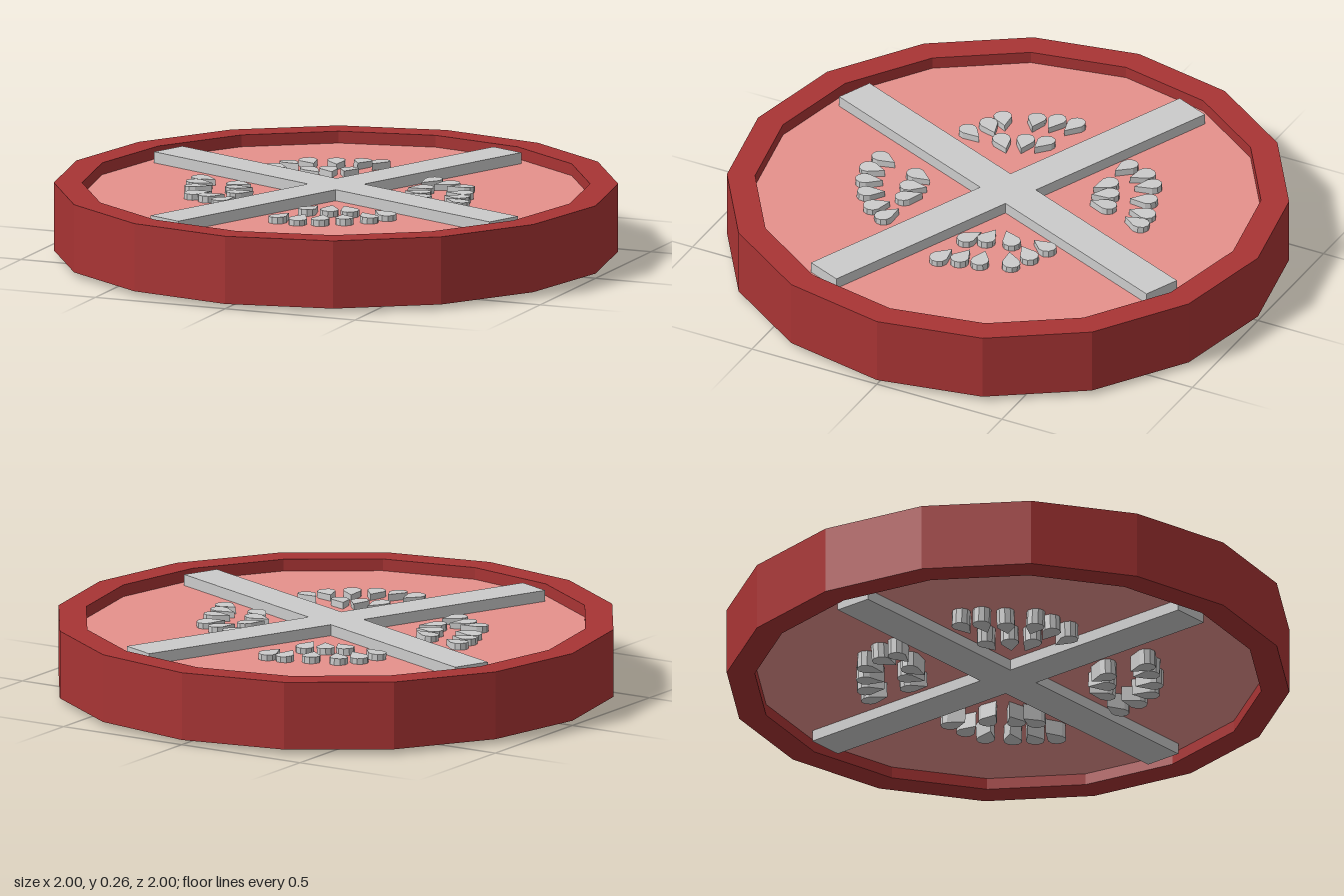
import * as THREE from 'three';

const SIDES = 16, BOTTOM = 0.02, TOP = 0.265;

const skinMat = new THREE.MeshStandardMaterial({ color: 0xa83434, flatShading: true });
const fleshMat = new THREE.MeshStandardMaterial({ color: 0xe6918c, flatShading: true });
const greyMat = new THREE.MeshStandardMaterial({ color: 0xcccccc, flatShading: true });

// Seed centres [x, z] for each of the four chambers, with the chamber's angle in degrees
const chambers = [
  { angle: -22.5, seeds: [[0.25, -0.28], [0.32, -0.25], [0.39, -0.21], [0.43, -0.12], [0.45, -0.05],
    [0.47, 0.02], [0.26, -0.15], [0.29, -0.07], [0.32, -0.01]] },
  { angle: 67.5, seeds: [[0.32, 0.31], [0.28, 0.38], [0.22, 0.44], [0.15, 0.48], [0.07, 0.5],
    [0, 0.5], [0.04, 0.34], [0.11, 0.32], [0.18, 0.3]] },
  { angle: 157.5, seeds: [[-0.51, 0], [-0.5, 0.07], [-0.47, 0.14], [-0.43, 0.24], [-0.37, 0.27],
    [-0.3, 0.31], [-0.35, 0.04], [-0.33, 0.11], [-0.3, 0.18]] },
  { angle: 247.5, seeds: [[-0.35, -0.29], [-0.33, -0.36], [-0.28, -0.42], [-0.19, -0.45], [-0.11, -0.48],
    [-0.04, -0.49], [-0.22, -0.28], [-0.16, -0.31], [-0.09, -0.33]] },
];

function mesh(name, geometry, material) {
  const m = new THREE.Mesh(geometry, material);
  m.name = name;
  return m;
}

// Extrudes a shape upwards from y = 0; shape x stays x, shape y becomes -z
function slab(shape, height) {
  return new THREE.ExtrudeGeometry(shape, { depth: height, bevelEnabled: false }).rotateX(-Math.PI / 2);
}

// Teardrop with its tip at -x and round end at +x
function seedShape() {
  const r = 0.033, points = [new THREE.Vector2(-0.052, 0)];
  for (let i = 0; i <= 6; i++) {
    const a = -1.9 + (3.8 * i) / 6;
    points.push(new THREE.Vector2(0.015 + r * Math.cos(a), r * Math.sin(a)));
  }
  return new THREE.Shape(points);
}

// Plus sign with four equal arms
function crossShape(length, half) {
  const points = [];
  for (let i = 0; i < 4; i++) {
    for (const [x, y] of [[length, -half], [length, half], [half, half]]) {
      points.push(new THREE.Vector2(x, y).rotateAround(new THREE.Vector2(), (i * Math.PI) / 2));
    }
  }
  return new THREE.Shape(points);
}

export function createModel() {
  const model = new THREE.Group();
  model.name = 'fruitSlice';

  // Outer skin ring
  const profile = [[0.9, BOTTOM], [1, BOTTOM], [1, TOP], [0.9, TOP], [0.9, BOTTOM]]
    .map(([x, y]) => new THREE.Vector2(x, y));
  model.add(mesh('skin', new THREE.LatheGeometry(profile, SIDES), skinMat));

  // Flesh, recessed on both faces
  const flesh = mesh('flesh', new THREE.CylinderGeometry(0.9, 0.9, 0.16, SIDES), fleshMat);
  flesh.position.y = 0.142;
  model.add(flesh);

  // Cross-shaped core between the chambers
  const core = mesh('core', slab(crossShape(0.85, 0.07), TOP - BOTTOM - 0.005), greyMat);
  core.position.y = BOTTOM + 0.002;
  core.rotation.y = -Math.PI / 8;
  model.add(core);

  // Seeds run right through the slice, fanning outwards with a slight tilt
  const seedGeometry = slab(seedShape(), 0.24).translate(0, -0.12, 0);
  chambers.forEach(({ angle, seeds }, c) => {
    const group = new THREE.Group();
    group.name = `seedCluster${c + 1}`;
    const a = THREE.MathUtils.degToRad(angle);
    const fx = 0.2 * Math.cos(a), fz = 0.2 * Math.sin(a);
    seeds.forEach(([x, z], i) => {
      const seed = mesh('seed', seedGeometry, greyMat);
      const k = c * 9 + i;
      seed.position.set(x, 0.125, z);
      seed.rotation.order = 'YXZ';
      seed.rotation.set(0.04 * Math.sin(k * 2.3), -Math.atan2(z - fz, x - fx), 0.04 * Math.cos(k * 1.7));
      group.add(seed);
    });
    model.add(group);
  });

  return model;
}
